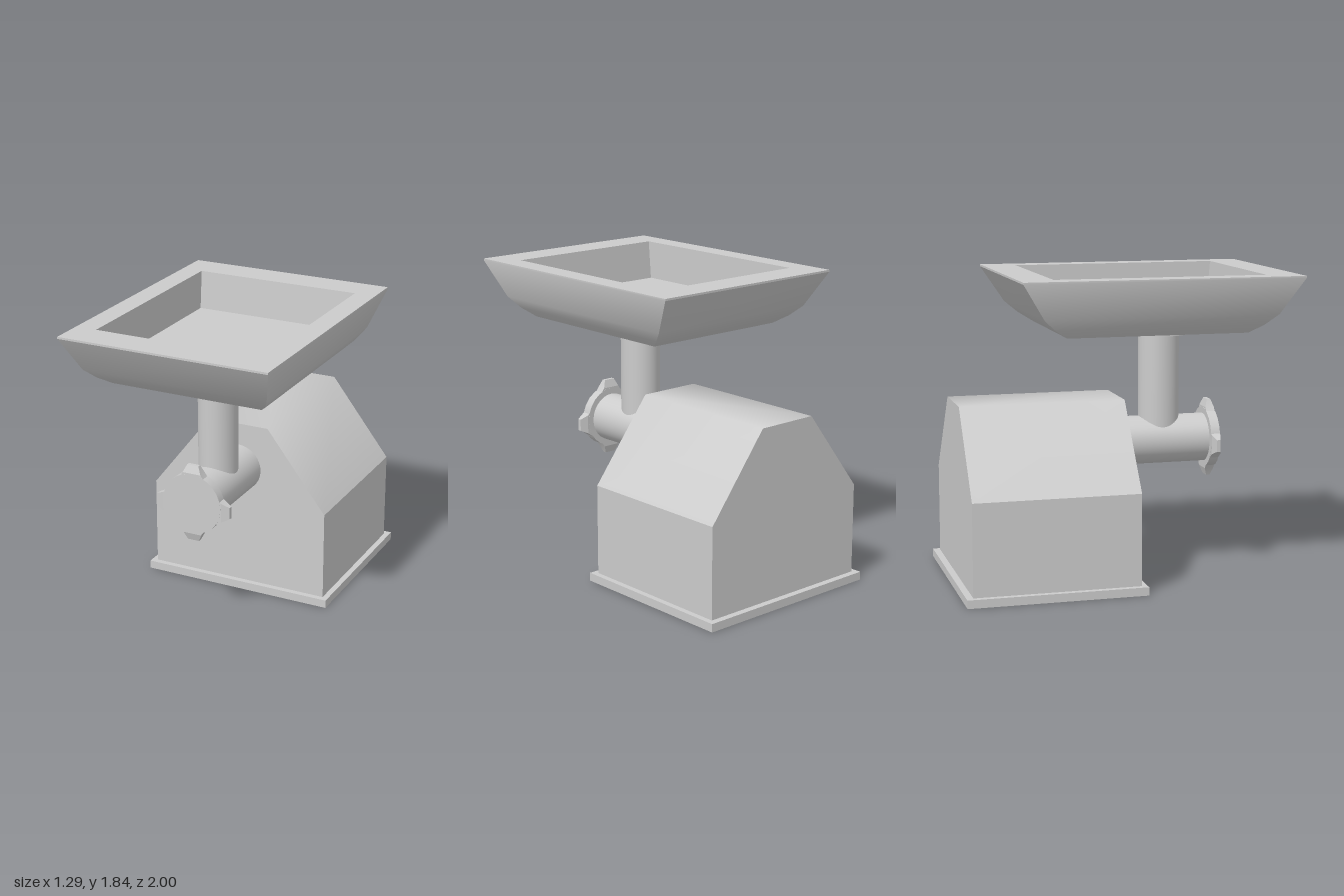
import * as THREE from 'three';
import { toCreasedNormals } from 'three/addons/utils/BufferGeometryUtils.js';

const material = new THREE.MeshStandardMaterial({ color: 0xcccccc });
const AXIS_X = -0.012; // the machine sits slightly off centre under its tray

function add(group, name, geometry, x = 0, y = 0, z = 0) {
  const mesh = new THREE.Mesh(geometry, material);
  mesh.name = name;
  mesh.position.set(x, y, z);
  group.add(mesh);
  return mesh;
}

// Skins rectangular rings [halfWidth, halfDepth, y], listed from outside bottom to inside floor
function rectangularLoft(rings) {
  const corners = [[1, 1], [1, -1], [-1, -1], [-1, 1]];
  const at = ([w, d, y], k) => [corners[k % 4][0] * w, y, corners[k % 4][1] * d];
  const positions = [];
  for (let i = 0; i < rings.length - 1; i++) {
    for (let k = 0; k < 4; k++) {
      const a = at(rings[i], k), b = at(rings[i], k + 1);
      const c = at(rings[i + 1], k + 1), d = at(rings[i + 1], k);
      if (rings[i][0] > 0) positions.push(...a, ...b, ...c);
      if (rings[i + 1][0] > 0) positions.push(...a, ...c, ...d);
    }
  }
  const geometry = new THREE.BufferGeometry();
  geometry.setAttribute('position', new THREE.Float32BufferAttribute(positions, 3));
  return toCreasedNormals(geometry, 0.5);
}

// Knob grip: a block that flares at its root and thins towards its tip
function gripGeometry() {
  const geometry = new THREE.BoxGeometry(2, 0.1, 2, 1, 2, 1);
  const p = geometry.attributes.position;
  for (let i = 0; i < p.count; i++) {
    const level = Math.round(p.getY(i) / 0.05) + 1;
    const [radius, halfWidth, halfDepth] = [[0.13, 0.1, 0.027], [0.19, 0.058, 0.027], [0.237, 0.036, 0.011]][level];
    p.setXYZ(i, p.getX(i) * halfWidth, radius, p.getZ(i) * halfDepth);
  }
  return toCreasedNormals(geometry, 0.2);
}

export function createModel() {
  const model = new THREE.Group();
  model.name = 'meatGrinder';

  // Housing: plinth, straight walls and sloped roof
  add(model, 'basePlate', new THREE.BoxGeometry(1.22, 0.05, 1.07), -0.015, 0.025, -0.465);
  add(model, 'housingWalls', new THREE.BoxGeometry(1.15, 0.55, 0.995), -0.015, 0.325, -0.4625);
  const roof = new THREE.Shape([[-0.575, 0], [0.575, 0], [0.195, 0.49], [-0.195, 0.49]]
    .map(([x, y]) => new THREE.Vector2(x, y)));
  const roofGeometry = new THREE.ExtrudeGeometry(roof, { depth: 0.995, bevelEnabled: false });
  add(model, 'housingRoof', toCreasedNormals(roofGeometry, 1), -0.015, 0.6, -0.96);

  // Grinding barrel running forward from the housing
  const barrel = new THREE.CylinderGeometry(0.147, 0.147, 0.58, 48).rotateX(Math.PI / 2);
  add(model, 'barrel', barrel, AXIS_X, 0.807, 0.3);

  // Feed neck and the flange beneath the tray
  const neck = new THREE.CylinderGeometry(0.117, 0.117, 0.68, 48).scale(1, 1, 1.06);
  add(model, 'feedNeck', neck, AXIS_X, 1.15, 0.302);
  const flange = new THREE.CylinderGeometry(0.172, 0.172, 0.045, 48).scale(1, 1, 1.087);
  add(model, 'neckFlange', flange, AXIS_X, 1.4775, 0.302);

  // Front ring knob with four grips
  const knob = new THREE.Group();
  knob.name = 'ringKnob';
  knob.position.set(AXIS_X, 0.808, 0.613);
  add(knob, 'knobDisc', new THREE.CylinderGeometry(0.185, 0.185, 0.056, 24).rotateX(Math.PI / 2));
  const grip = gripGeometry();
  for (let i = 0; i < 4; i++) {
    const mesh = add(knob, 'knobGrip', grip, 0, i % 2 ? -0.02 : 0, 0);
    mesh.rotation.z = i * Math.PI / 2;
  }
  model.add(knob);

  // Tray with curved outer walls and a recessed well
  add(model, 'tray', rectangularLoft([
    [0, 0, 1.5],
    [0.47, 0.543, 1.5],
    [0.527, 0.622, 1.55],
    [0.573, 0.697, 1.615],
    [0.645, 0.8325, 1.828],
    [0.645, 0.8325, 1.84],
    [0.515, 0.633, 1.84],
    [0.515, 0.613, 1.605],
    [0, 0, 1.605],
  ]), -0.003, 0, 0.1675);

  return model;
}
